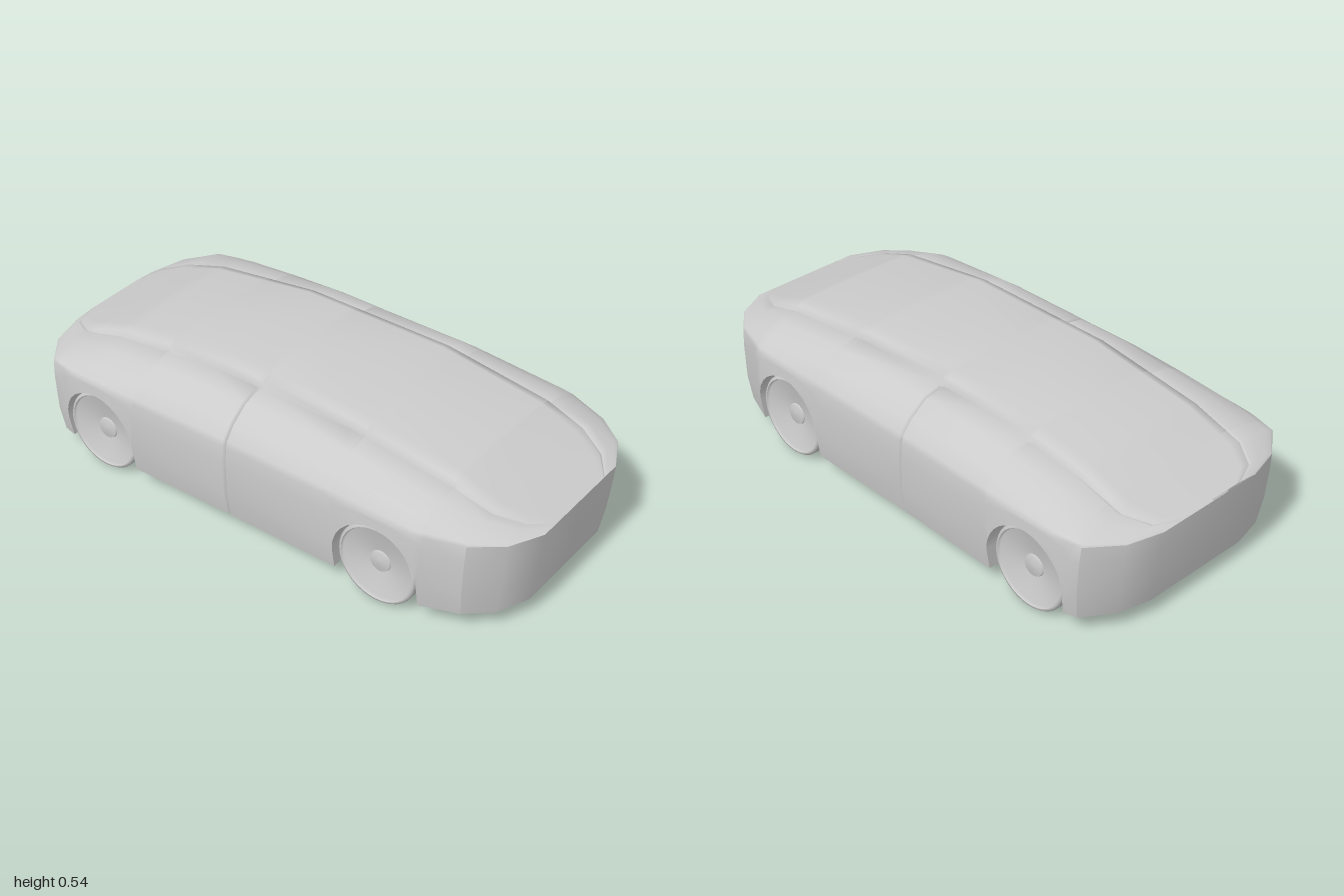
import * as THREE from 'three';
import { mergeVertices } from 'three/addons/utils/BufferGeometryUtils.js';

const FLOOR = 0.07, BELT = 0.36;
const WHEEL_Y = 0.155, WHEEL_R = 0.153, ARCH_R = 0.163, WELL_X = 0.33;
const AXLES = [0.53, -0.66];
const material = new THREE.MeshStandardMaterial({ color: 0xcccccc, side: THREE.DoubleSide });

// piecewise linear lookup, table sorted by ascending key
function lookup(table, v) {
  if (v <= table[0][0]) return table[0][1];
  for (let i = 1; i < table.length; i++) {
    const [k1, v1] = table[i], [k0, v0] = table[i - 1];
    if (v <= k1) return v0 + (v1 - v0) * (v - k0) / (k1 - k0);
  }
  return table[table.length - 1][1];
}

// half width in plan, roof line, and the wall's side and end curvature
const PLAN = [[-1, 0.22], [-0.965, 0.35], [-0.88, 0.46], [-0.78, 0.48], [-0.5, 0.487],
  [0, 0.48], [0.3, 0.48], [0.68, 0.475], [0.84, 0.42], [0.94, 0.34], [1, 0.22]];
const ROOF = [[-1, 0.37], [-0.7, 0.48], [-0.28, 0.545], [0.3, 0.545], [0.7, 0.48], [1, 0.36]];
const BULGE = [[0.07, 0.967], [0.17, 1], [0.3, 1], [0.36, 0.99]];
const TUCK = [[0.07, 0.963], [0.17, 0.98], [0.3, 0.995], [0.36, 1]];

// upper profile: outer points as a share of the half width, inner ones in units
const SHOULDER = [[0.975, 0.13], [0.9, 0.38], [0.76, 0.65]];
const CENTRE = [[0.29, 0.74], [0.285, 0.62], [0.275, 0.62], [0.27, 0.86], [0.23, 0.95], [0, 1]];
const WALL = [0, 0.345, 0.79, 1];

// columns from nose to tail: belt z, and the lower end of the wall
function makeColumns() {
  const cols = [];
  const plain = (z, extra = {}) => cols.push({ z, zb: z, yb: FLOOR, ...extra });
  const arch = (cz) => {
    const add = (z, zb, yb) => cols.push({ z, zb, yb, arch: cz });
    add(cz + 0.19, cz + ARCH_R, FLOOR);
    for (let k = 0; k <= 14; k++) {
      const a = Math.PI * k / 14;
      add(cz + 0.175 * Math.cos(a), cz + ARCH_R * Math.cos(a), WHEEL_Y + ARCH_R * Math.sin(a));
    }
    add(cz - 0.19, cz - ARCH_R, FLOOR);
  };
  plain(1, { w: 0 });
  [1, 0.94, 0.84].forEach((z) => plain(z));
  arch(AXLES[0]);
  plain(0.3);
  plain(-0.072);
  plain(-0.076, { seam: true });
  plain(-0.084, { seam: true });
  plain(-0.088);
  plain(-0.28);
  arch(AXLES[1]);
  [-0.88, -0.965, -1].forEach((z) => plain(z));
  plain(-1, { w: 0 });
  return cols;
}

// all points of one column, from the wheel well up to the roof centre
function columnPoints(col) {
  const pts = [];
  const inset = col.seam ? 0.96 : 1, drop = col.seam ? 0.012 : 0;
  for (const t of WALL) {
    const y = col.yb + (BELT - col.yb) * t;
    const z = col.zb + (col.z - col.zb) * t;
    const end = THREE.MathUtils.clamp((Math.abs(z) - 0.72) / 0.28, 0, 1);
    const w = col.w ?? lookup(PLAN, z);
    pts.push([w * lookup(BULGE, y) * inset, y, z * (1 - (1 - lookup(TUCK, y)) * end)]);
  }
  pts.unshift([WELL_X, pts[0][1], pts[0][2]]);
  const w = col.w ?? lookup(PLAN, col.z);
  const rise = lookup(ROOF, col.z) - BELT;
  const squeeze = Math.min(1, 0.68 * w / 0.29);
  for (const [s, h] of SHOULDER) pts.push([w * s * inset, BELT + rise * h - drop, col.z]);
  CENTRE.forEach(([x, h], i) =>
    pts.push([x * squeeze, BELT + rise * h - (i === 0 ? drop : 0), col.z]));
  return pts;
}

// collects quads chosen by a rule, on both sides, as one smooth surface
function skin(name, cols, grid, choose) {
  const pos = [], index = [], rows = grid[0].length;
  for (const side of [1, -1]) {
    const base = pos.length / 3;
    for (const c of grid) for (const [x, y, z] of c) pos.push(side * x, y, z);
    for (let j = 0; j < cols.length - 1; j++) {
      for (let r = 0; r < rows - 1; r++) {
        if (!choose(cols[j], cols[j + 1], r)) continue;
        const a = base + j * rows + r, b = a + rows, c = b + 1, d = a + 1;
        if (side > 0) index.push(a, b, c, a, c, d);
        else index.push(a, c, b, a, d, c);
      }
    }
  }
  let geo = new THREE.BufferGeometry();
  geo.setAttribute('position', new THREE.Float32BufferAttribute(pos, 3));
  geo.setIndex(index);
  geo = mergeVertices(geo, 1e-5);
  geo.computeVertexNormals();
  const mesh = new THREE.Mesh(geo, material);
  mesh.name = name;
  return mesh;
}

// flat underside with notches at the wheels
function makeFloor(cols, grid) {
  const edge = [];
  cols.forEach((col, j) => {
    if (col.yb > FLOOR) return;
    const [x, , z] = grid[j][1];
    const outer = [x, z], inner = [WELL_X, z];
    if (col.arch === undefined) edge.push(outer);
    else if (z > col.arch) edge.push(outer, inner);
    else edge.push(inner, outer);
  });
  const mirrored = edge.slice(1, -1).reverse().map(([x, z]) => [-x, z]);
  const shape = new THREE.Shape([...edge, ...mirrored].map(([x, z]) => new THREE.Vector2(x, z)));
  const floor = new THREE.Mesh(new THREE.ShapeGeometry(shape).rotateX(Math.PI / 2), material);
  floor.position.y = FLOOR;
  floor.name = 'floor';
  return floor;
}

// tyre with a dished rim and a small hub, axis along x
function makeWheel(x, z) {
  const wheel = new THREE.Group();
  const turn = (name, points) => {
    const geo = new THREE.LatheGeometry(points.map(([r, a]) => new THREE.Vector2(r, a)), 36);
    const mesh = new THREE.Mesh(geo.rotateZ(-Math.PI / 2), material);
    mesh.name = name;
    wheel.add(mesh);
  };
  turn('tyre', [[0, -0.058], [0.145, -0.058], [WHEEL_R, -0.05], [WHEEL_R, 0.05], [0.147, 0.058], [0.141, 0.058]]);
  turn('rim', [[0.141, 0.058], [0.136, 0.048], [0.04, 0.03]]);
  turn('hub', [[0.04, 0.03], [0.037, 0.038], [0, 0.04]]);
  wheel.position.set(x, WHEEL_Y, z);
  if (x < 0) wheel.rotation.y = Math.PI;
  wheel.name = (z > 0 ? 'front' : 'rear') + (x > 0 ? 'LeftWheel' : 'RightWheel');
  return wheel;
}

export function createModel() {
  const model = new THREE.Group();
  model.name = 'car';
  const cols = makeColumns();
  const grid = cols.map(columnPoints);
  const isWall = (r) => r >= 1 && r <= 3;
  const inNose = (a, b) => b.z >= 0.84;
  const inTail = (a) => a.z <= -0.88;

  // bodywork
  model.add(skin('bodyShell', cols, grid, (a, b, r) =>
    r > 0 && a.w !== 0 && b.w !== 0 && !(isWall(r) && (inNose(a, b) || inTail(a)))));
  model.add(skin('nosePanel', cols, grid, (a, b, r) => isWall(r) && inNose(a, b)));
  model.add(skin('tailPanel', cols, grid, (a, b, r) => isWall(r) && inTail(a)));
  model.add(skin('wheelArches', cols, grid, (a, b, r) =>
    r === 0 && a.arch !== undefined && a.arch === b.arch));
  model.add(makeFloor(cols, grid));

  // wheels
  for (const z of AXLES) for (const side of [1, -1]) model.add(makeWheel(side * 0.4, z));
  return model;
}
